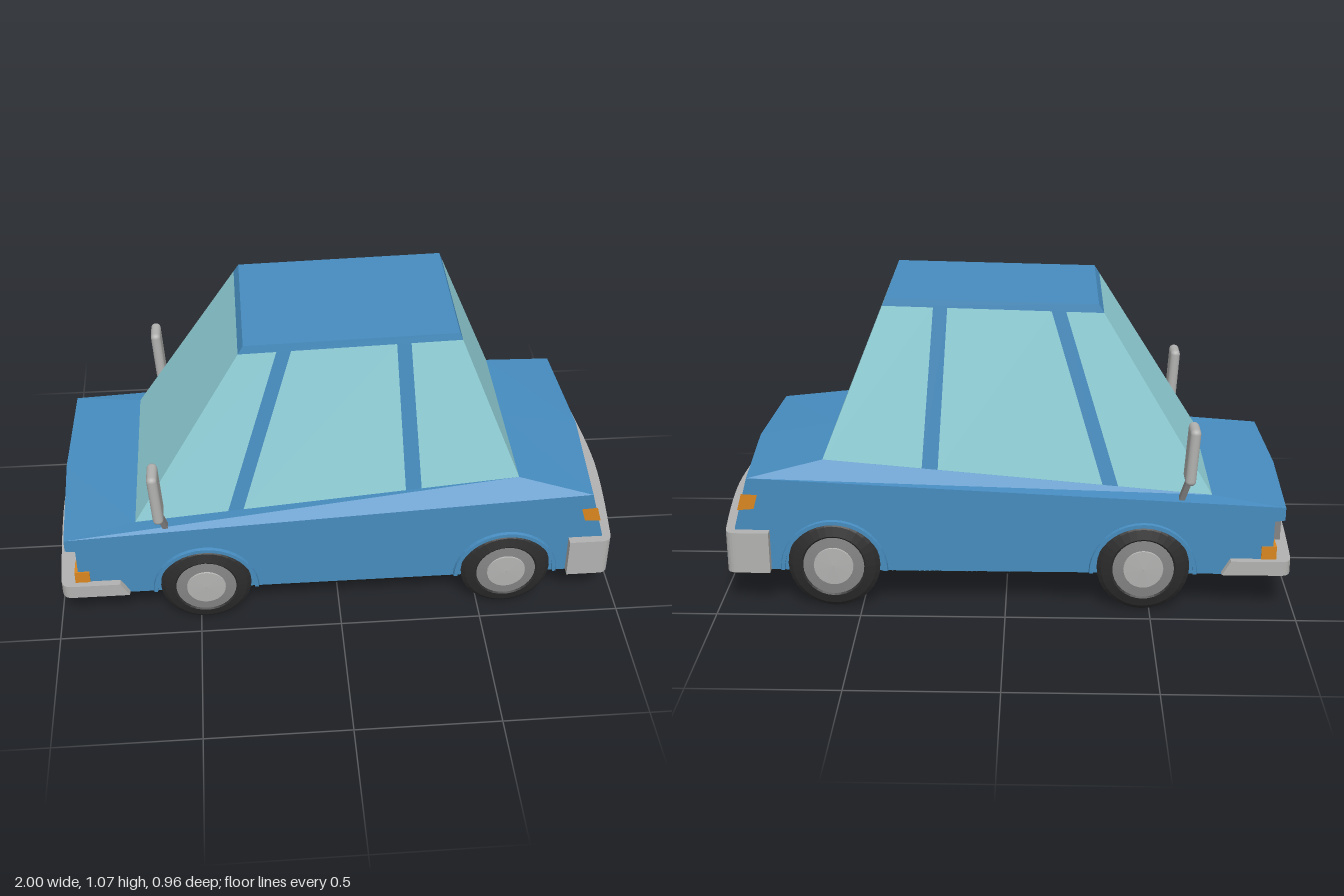
import * as THREE from 'three';
import { RoundedBoxGeometry } from 'three/addons/geometries/RoundedBoxGeometry.js';

const mat = (name, color) => Object.assign(new THREE.MeshStandardMaterial({ color }), { name });

export function createModel() {
  const car = new THREE.Group();
  car.name = 'car';
  const paint = mat('blue paint', 0x468cbf);
  const glass = mat('window glass', 0x92d2da);
  const metal = mat('bumper grey', 0xb2b2b1);
  const steel = mat('wheel steel', 0x848484);
  const rubber = mat('tyre rubber', 0x2b2b2b);
  const black = mat('underside black', 0x161616);
  const red = mat('tail red', 0xe0542f);
  const orange = mat('indicator orange', 0xd9861f);

  const add = (name, geo, material, parent = car) => {
    const mesh = new THREE.Mesh(geo, material);
    mesh.name = name;
    parent.add(mesh);
    return mesh;
  };
  const flat = (geo) => {
    const g = geo.index ? geo.toNonIndexed() : geo;
    g.computeVertexNormals();
    return g;
  };
  const box = (name, m, x0, x1, y0, y1, z0, z1) =>
    add(name, new THREE.BoxGeometry(x1 - x0, y1 - y0, z1 - z0)
      .translate((x0 + x1) / 2, (y0 + y1) / 2, (z0 + z1) / 2), m);

  // Flat-shaded faces from corner lists in counter-clockwise order
  const faces = (name, m, polys) => {
    const pos = [];
    for (const p of polys)
      for (let i = 1; i < p.length - 1; i++) pos.push(...p[0], ...p[i], ...p[i + 1]);
    const g = new THREE.BufferGeometry();
    g.setAttribute('position', new THREE.Float32BufferAttribute(pos, 3));
    return add(name, flat(g), m);
  };
  const mirrored = (polys) =>
    polys.concat(polys.map((p) => p.map(([x, y, z]) => [x, y, -z]).reverse()));
  const skin = (rings) => {
    const out = [];
    for (let k = 0; k < rings.length - 1; k++) {
      const a = rings[k], b = rings[k + 1], n = a.length;
      for (let i = 0; i < n; i++) {
        const j = (i + 1) % n;
        out.push([a[i], a[j], b[j], b[i]]);
      }
    }
    return out;
  };

  // Body: stacked outlines, each bowed at the nose and tail
  const outline = (yF, yR, frontMid, frontEdge, rearMid, rearEdge, z) => [
    [frontMid, yF, 0], [frontEdge, yF, z], [rearEdge, yR, z],
    [rearMid, yR, 0], [rearEdge, yR, -z], [frontEdge, yF, -z]];
  const bodyRings = [
    outline(0.135, 0.135, -0.935, -0.92, 0.96, 0.935, 0.42),
    outline(0.335, 0.29, -0.935, -0.92, 0.96, 0.935, 0.42),
    outline(0.34, 0.295, -0.97, -0.955, 0.959, 0.934, 0.42),
    outline(0.387, 0.477, -0.97, -0.955, 0.91, 0.885, 0.42),
    outline(0.407, 0.525, -0.71, -0.71, 0.63, 0.63, 0.36),
  ];
  faces('body', paint, [...skin(bodyRings), bodyRings[4]]);
  box('underside', black, -0.925, 0.94, 0.129, 0.136, -0.42, 0.42);

  // Cabin: s runs nose to tail, t runs belt line to roof
  const lerp = THREE.MathUtils.lerp;
  const cabin = (s, t, side = 1) => [
    lerp(lerp(-0.71, 0.63, s), lerp(-0.31, 0.41, s), t),
    lerp(lerp(0.405, 0.525, s), lerp(1.055, 1.07, s), t),
    side * lerp(0.36, 0.26, t)];
  const cabinRing = (t) => [cabin(0, t, -1), cabin(0, t), cabin(1, t), cabin(1, t, -1)];
  const T = 0.955;
  const roof = [cabinRing(T), cabinRing(1)];
  faces('roof', paint, [...skin(roof), roof[1]]);
  const screens = skin([cabinRing(0), cabinRing(T)]);
  faces('windscreen', glass, [screens[0]]);
  faces('rearWindow', glass, [screens[2]]);
  // Each division gives its position along the belt and along the roof
  const cuts = [[0, 0], [0.242, 0.171], [0.282, 0.236], [0.705, 0.706], [0.746, 0.77], [1, 1]];
  for (let i = 0; i < 5; i++) {
    const [a, b] = [cuts[i], cuts[i + 1]];
    const quad = [cabin(a[0], 0), cabin(b[0], 0), cabin(b[1], T), cabin(a[1], T)];
    faces(i % 2 ? 'doorPillars' : 'sideWindows', i % 2 ? paint : glass, mirrored([quad]));
  }

  // Bumpers: bowed plan with rounded corners
  const bumper = (name, m, dir, inner, edge, mid, z, y0, y1) => {
    const s = new THREE.Shape();
    s.moveTo(dir * inner, z);
    s.lineTo(dir * (edge - 0.035), z);
    s.quadraticCurveTo(dir * edge, z, dir * (edge + 0.003), z - 0.04);
    s.quadraticCurveTo(dir * mid, z * 0.3, dir * mid, 0);
    s.quadraticCurveTo(dir * mid, -z * 0.3, dir * (edge + 0.003), -z + 0.04);
    s.quadraticCurveTo(dir * edge, -z, dir * (edge - 0.035), -z);
    s.lineTo(dir * inner, -z);
    const g = new THREE.ExtrudeGeometry(s, { depth: y1 - y0, bevelEnabled: false, curveSegments: 6 });
    return add(name, g.rotateX(Math.PI / 2).translate(0, y1, 0), m);
  };
  const front = bumper('frontBumper', metal, -1, 0.745, 0.98, 1, 0.445, 0.143, 0.195);
  const fp = front.geometry.attributes.position;
  for (let i = 0; i < fp.count; i++) // slanted ends
    if (fp.getX(i) > -0.8 && fp.getY(i) > 0.17) fp.setX(i, fp.getX(i) - 0.03);
  front.geometry.computeVertexNormals();
  bumper('rearBumper', metal, 1, 0.815, 0.965, 1, 0.45, 0.135, 0.285);
  bumper('rearBumperUnderside', black, 1, 0.815, 0.962, 0.997, 0.447, 0.13, 0.136);

  // Grille with slats and lamps
  box('grille', steel, -0.968, -0.92, 0.195, 0.337, -0.26, 0.26);
  for (let i = 0; i < 5; i++)
    box('grilleSlat', rubber, -0.971, -0.967, 0.216 + i * 0.023, 0.222 + i * 0.023, -0.15, 0.15);
  for (const s of [-1, 1])
    box('headlamp', metal, -0.973, -0.967, 0.22, 0.315, s * 0.205 - 0.04, s * 0.205 + 0.04);

  // Indicators and tail lights
  for (const s of [-1, 1])
    box('frontIndicator', orange, -0.932, -0.88, 0.195, 0.242, s * 0.392 - 0.032, s * 0.392 + 0.032);
  const tail = (y, z) => [
    lerp(0.935, 0.885, (y - 0.295) / 0.182) + 0.025 * (1 - z / 0.42) + 0.005, y, z];
  faces('tailLights', red, mirrored([
    [tail(0.36, 0.385), tail(0.36, 0.28), tail(0.42, 0.307), tail(0.42, 0.385)]]));
  const cornerLow = tail(0.36, 0.424), cornerHigh = tail(0.42, 0.424);
  faces('rearIndicators', orange, mirrored([
    [cornerLow, tail(0.36, 0.385), tail(0.42, 0.385), cornerHigh],
    [[0.865, 0.365, 0.424], cornerLow, cornerHigh, [0.85, 0.417, 0.424]]]));

  // Wheels with arches, turned around for the far side
  const lathe = (pts, seg, start, len) => flat(new THREE.LatheGeometry(
    pts.map(([r, h]) => new THREE.Vector2(r, h)), seg, start, len).rotateX(Math.PI / 2));
  const tyre = [[0.001, 0.345], [0.11, 0.345], [0.16, 0.362], [0.16, 0.42], [0.145, 0.432],
    [0.112, 0.442], [0.104, 0.436]];
  const rim = [[0.106, 0.42], [0.106, 0.438], [0.07, 0.441], [0.001, 0.441]];
  const hub = [[0.072, 0.435], [0.068, 0.445], [0.001, 0.447]];
  const arch = [[0.19, 0.41], [0.185, 0.431], [0.172, 0.431], [0.172, 0.41]];
  for (const x of [-0.475, 0.595])
    for (const side of [1, -1]) {
      const wheel = new THREE.Group();
      wheel.name = x < 0 ? 'frontWheel' : 'rearWheel';
      wheel.position.set(x, 0.16, 0);
      wheel.rotation.y = side > 0 ? 0 : Math.PI;
      add('tyre', lathe(tyre, 32), rubber, wheel);
      add('rim', lathe(rim, 32), steel, wheel);
      add('hubcap', lathe(hub, 32), metal, wheel);
      add('wheelArch', lathe(arch, 20, Math.PI / 2, Math.PI), paint, wheel).position.y = -0.022;
      car.add(wheel);
    }

  // Door mirrors on short stalks
  for (const side of [1, -1]) {
    const mirror = add('doorMirror', new RoundedBoxGeometry(0.036, 0.203, 0.1, 3, 0.017), metal);
    mirror.position.set(-0.627, 0.585, side * 0.43);
    mirror.rotation.z = 0.06;
    const stalk = add('mirrorStalk', new THREE.BoxGeometry(0.018, 0.1, 0.025), steel);
    stalk.position.set(-0.613, 0.452, side * 0.408);
    stalk.rotation.set(side * 0.25, 0, 0.25);
  }
  return car;
}
